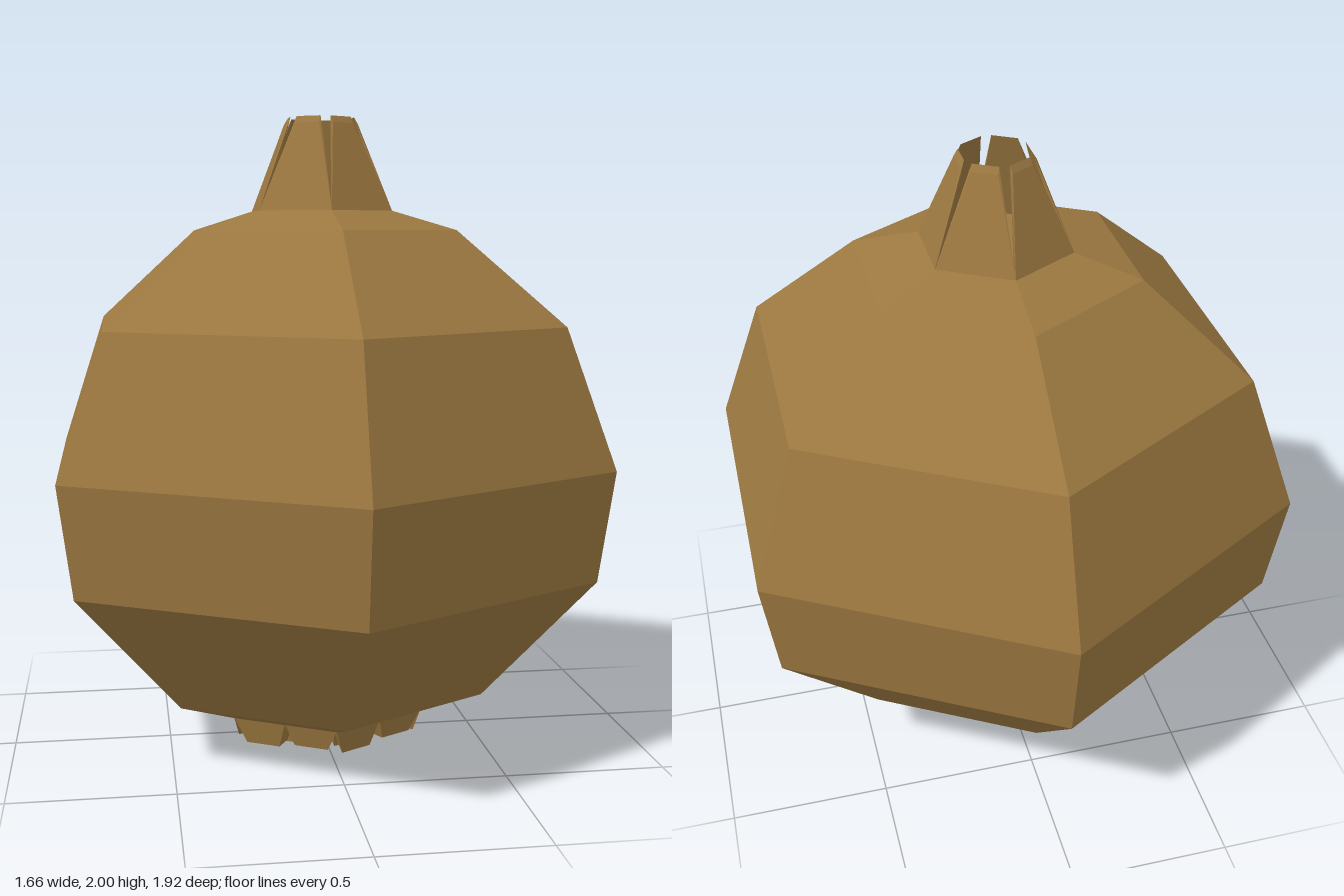
import * as THREE from 'three';
import { ConvexGeometry } from 'three/addons/geometries/ConvexGeometry.js';

const SIDE = Math.PI / 3;

export function createModel() {
  const group = new THREE.Group();
  const skin = new THREE.MeshStandardMaterial({ color: 0x9c7840, flatShading: true });
  const add = (geometry, name) => {
    const mesh = new THREE.Mesh(geometry, skin);
    mesh.name = name;
    group.add(mesh);
    return mesh;
  };

  // Six-sided bulb with corners on the z axis
  const profile = [[0, 0.11], [0.35, 0.11], [0.55, 0.185], [0.91, 0.585], [0.96, 0.93],
    [0.8, 1.36], [0.45, 1.65], [0.24, 1.71], [0, 1.71]].map(([r, y]) => new THREE.Vector2(r, y));
  const bulb = new THREE.LatheGeometry(profile, 6).toNonIndexed();
  bulb.computeVertexNormals();
  add(bulb, 'bulb');

  // Thin tapered leaf stubs, one per side: [distance out, height, half width]
  const leafRows = [[0.208, 1.71, 0.12], [0.185, 1.71, 0.105], [0.112, 1.98, 0.04], [0.1, 2, 0.04]];
  const leaf = new ConvexGeometry(leafRows.flatMap(([d, y, w]) =>
    [new THREE.Vector3(-w, y, d), new THREE.Vector3(w, y, d)]));
  for (let i = 0; i < 6; i++) add(leaf, 'leafStub').rotation.y = (i + 0.5) * SIDE;

  // Root stubs: each half side carries three rings of blocks tapering downwards
  const radii = [0.35, 0.235, 0.125, 0.025];
  const bottoms = [0.03, 0.012, 0];
  const apothem = Math.cos(SIDE / 2);
  const halfWidth = Math.sin(SIDE / 2);
  for (let side = 0; side < 6; side++) {
    for (const s of [-1, 1]) {
      for (let ring = 0; ring < 3; ring++) {
        const top = [radii[ring], radii[ring + 1]].flatMap((r) =>
          [new THREE.Vector3(0, 0.112, r * apothem),
            new THREE.Vector3(s * r * halfWidth, 0.112, r * apothem)]);
        const centre = new THREE.Vector3();
        top.forEach((p) => centre.addScaledVector(p, 0.25));
        const low = bottoms[ring] + (ring < 2 && s > 0 ? 0.012 : 0);
        const bottom = top.map((p) => p.clone().lerp(centre, 0.36).setY(low));
        add(new ConvexGeometry([...top, ...bottom]), 'rootStub').rotation.y = (side + 0.5) * SIDE;
      }
    }
  }
  return group;
}
